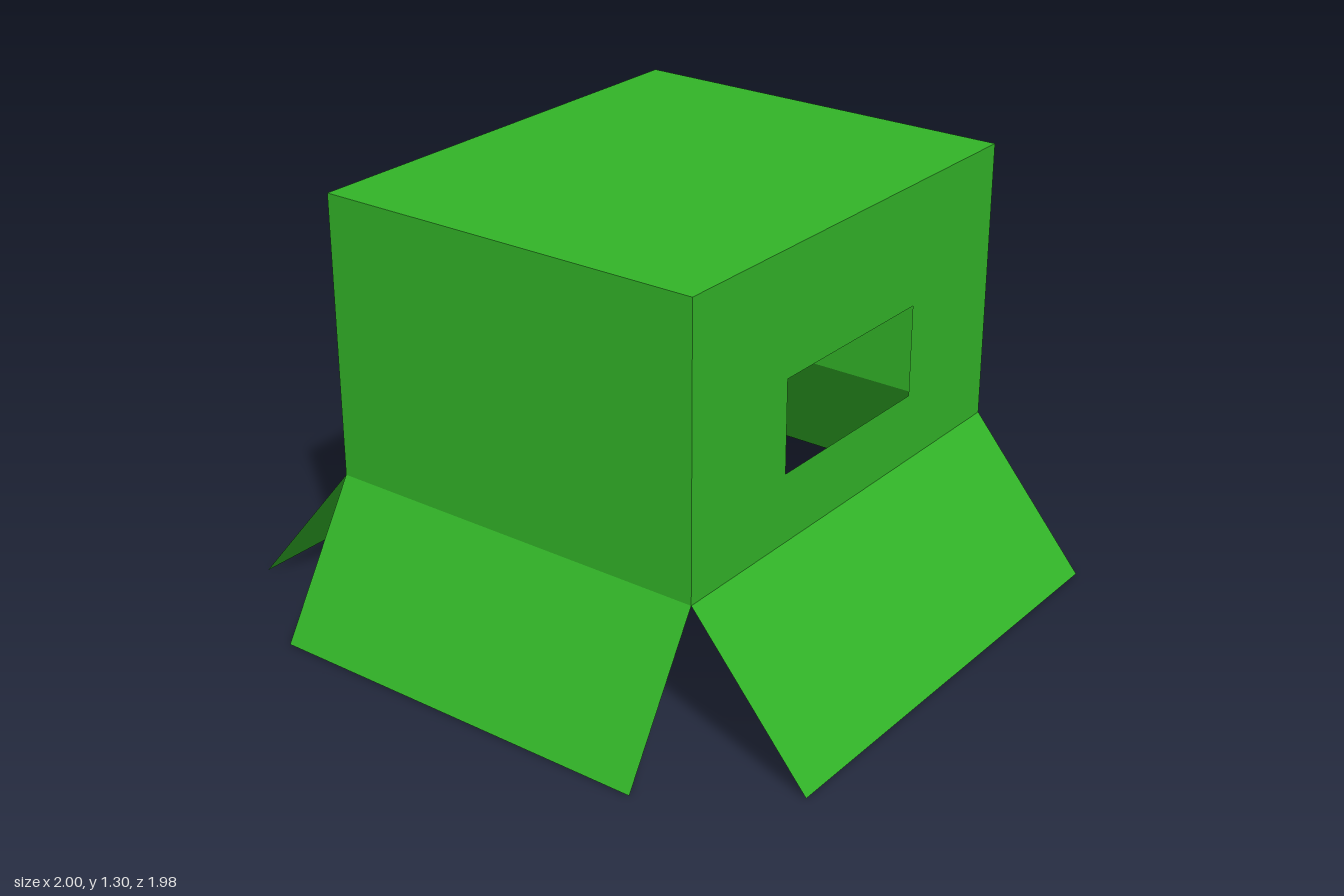
import * as THREE from 'three';

const W = 0.735, D = 0.62;          // half width and half depth of the box
const TOP = 1.3, RIM = 0.44;        // top panel and lower rim heights
const FLAP_X = 0.265, FLAP_Z = 0.37; // how far the flaps splay outward

export function createModel() {
  const model = new THREE.Group();
  model.name = 'openBox';
  const green = new THREE.MeshStandardMaterial({ color: 0x32b428, side: THREE.DoubleSide });
  green.name = 'green card';

  const add = (name, geometry, parent = model) => {
    const mesh = new THREE.Mesh(geometry, green);
    mesh.name = name;
    parent.add(mesh);
    return mesh;
  };

  // Top panel
  const top = add('topPanel', new THREE.PlaneGeometry(2 * W, 2 * D));
  top.rotation.x = -Math.PI / 2;
  top.position.y = TOP;

  // Front wall outline with a rectangular window cut out
  const frontShape = new THREE.Shape([
    new THREE.Vector2(-W, RIM), new THREE.Vector2(W, RIM),
    new THREE.Vector2(W, TOP), new THREE.Vector2(-W, TOP),
  ]);
  frontShape.holes.push(new THREE.Path([
    new THREE.Vector2(-0.313, 0.65), new THREE.Vector2(-0.313, 0.93),
    new THREE.Vector2(0.313, 0.93), new THREE.Vector2(0.313, 0.65),
  ]));

  // Each side: a wall and a sheet flap hinged on its lower rim
  const sides = [
    { name: 'front', half: W, dist: D, splay: FLAP_Z },
    { name: 'left', half: D, dist: W, splay: FLAP_X },
    { name: 'back', half: W, dist: D, splay: FLAP_Z },
    { name: 'right', half: D, dist: W, splay: FLAP_X },
  ];
  sides.forEach(({ name, half, dist, splay }, i) => {
    const side = new THREE.Group();
    side.name = name + 'Side';
    side.rotation.y = i * Math.PI / 2;
    model.add(side);

    const wallGeometry = name === 'front'
      ? new THREE.ShapeGeometry(frontShape)
      : new THREE.PlaneGeometry(2 * half, TOP - RIM).translate(0, (TOP + RIM) / 2, 0);
    add(name + 'Wall', wallGeometry, side).position.z = dist;

    const length = Math.hypot(splay, RIM);
    const flap = add(name + 'Flap',
      new THREE.PlaneGeometry(2 * half, length).translate(0, -length / 2, 0), side);
    flap.position.set(0, RIM, dist);
    flap.rotation.x = -Math.atan2(splay, RIM);
  });

  return model;
}
